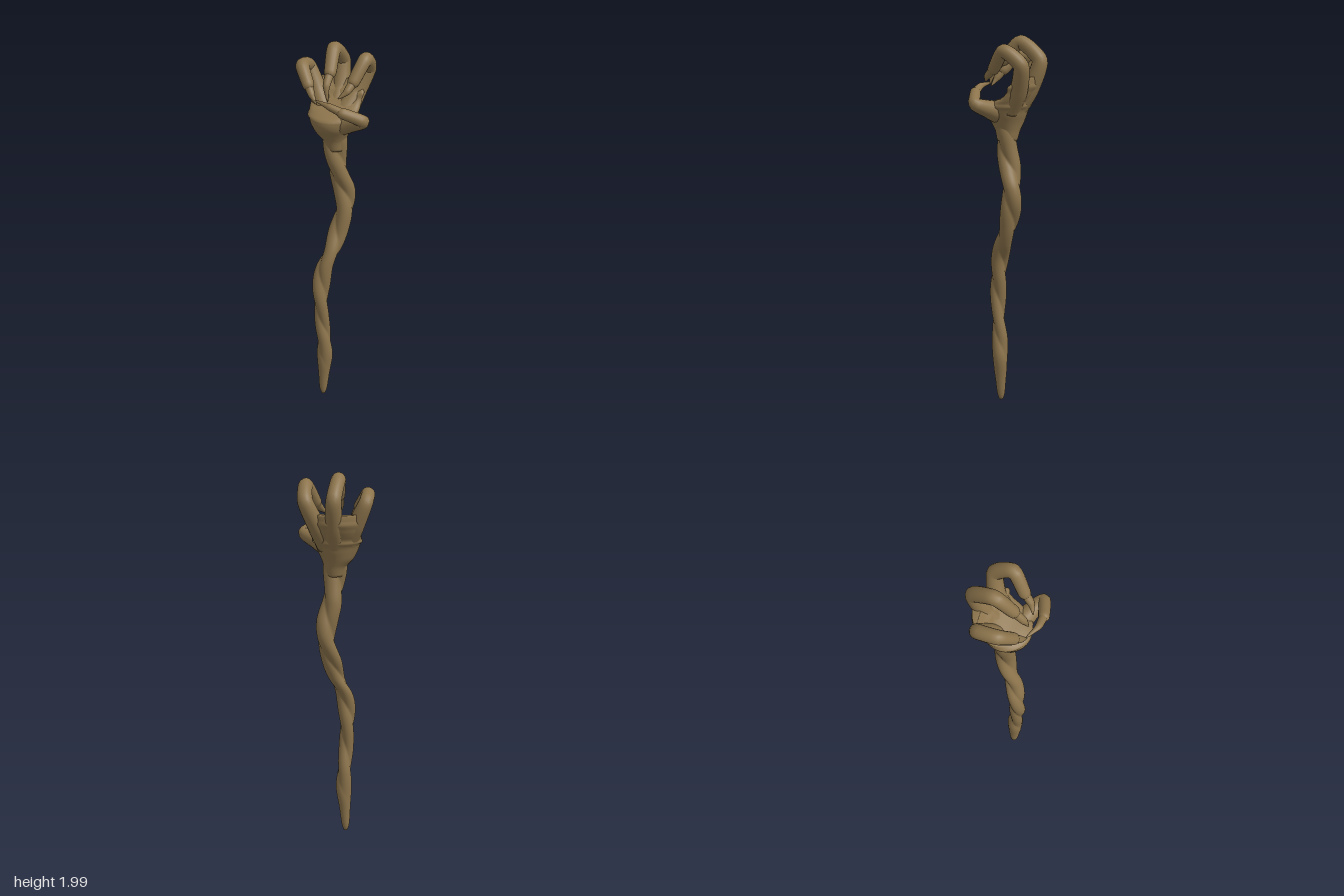
import * as THREE from 'three';

const V = (p) => new THREE.Vector3(p[0], p[1], p[2]);

// Skin a list of closed rings (equal point counts), closing both ends.
function loft(rings) {
  const n = rings[0].length, pos = [], idx = [];
  const add = (v) => pos.push(v.x, v.y, v.z);
  rings.forEach((r) => r.forEach(add));
  for (let i = 0; i < rings.length - 1; i++) {
    for (let j = 0; j < n; j++) {
      const a = i * n + j, b = i * n + (j + 1) % n;
      idx.push(a, b, a + n, b, b + n, a + n);
    }
  }
  const centre = (r) => r.reduce((s, v) => s.add(v), new THREE.Vector3()).divideScalar(n);
  const c0 = rings.length * n, last = (rings.length - 1) * n;
  add(centre(rings[0]));
  add(centre(rings[rings.length - 1]));
  for (let j = 0; j < n; j++) {
    idx.push(c0, (j + 1) % n, j);
    idx.push(c0 + 1, last + j, last + (j + 1) % n);
  }
  const g = new THREE.BufferGeometry();
  g.setAttribute('position', new THREE.Float32BufferAttribute(pos, 3));
  g.setIndex(idx);
  g.computeVertexNormals();
  return g;
}

// Tube through [x, y, z, radius] points with a rounded far end.
function limb(points, sides = 16, steps = 8) {
  const curve = new THREE.CatmullRomCurve3(points.map(V), false, 'catmullrom', 0.32);
  const m = points.length - 1, total = m * steps, rings = [];
  let normal = null;
  const ring = (c, t, r) => {
    if (!normal) normal = new THREE.Vector3(0.31, 0.2, 0.93);
    normal.addScaledVector(t, -normal.dot(t)).normalize();
    const side = new THREE.Vector3().crossVectors(t, normal);
    rings.push(Array.from({ length: sides }, (_, j) => {
      const a = (j / sides) * Math.PI * 2;
      return c.clone().addScaledVector(normal, r * Math.cos(a)).addScaledVector(side, r * Math.sin(a));
    }));
  };
  for (let i = 0; i <= total; i++) {
    const k = Math.min(Math.floor(i / steps), m - 1), f = i / steps - k;
    const r = THREE.MathUtils.lerp(points[k][3], points[k + 1][3], f);
    ring(curve.getPoint(i / total), curve.getTangent(i / total), r);
  }
  const end = V(points[m]), dir = curve.getTangent(1), r = points[m][3];
  for (const a of [0.4, 0.8, 1.15, 1.45]) {
    ring(end.clone().addScaledVector(dir, r * Math.sin(a)), dir, r * Math.cos(a));
  }
  return loft(rings);
}

// Two-strand twisted shaft following a wandering centre line: [x, y, z, radius].
function shaftGeometry() {
  const path = [
    [-0.05, 0.005, 0.085, 0.01], [-0.05, 0.03, 0.085, 0.019], [-0.046, 0.13, 0.085, 0.03],
    [-0.04, 0.25, 0.085, 0.042], [-0.042, 0.35, 0.087, 0.041], [-0.05, 0.5, 0.1, 0.038],
    [-0.053, 0.68, 0.1, 0.045], [-0.04, 0.8, 0.085, 0.046], [-0.005, 0.9, 0.05, 0.047],
    [0.012, 1.0, 0.01, 0.05], [0.035, 1.12, -0.02, 0.052], [0.03, 1.22, -0.02, 0.054],
    [0.01, 1.32, 0.0, 0.055], [0, 1.42, 0.02, 0.056], [-0.005, 1.55, 0.022, 0.062]];
  const centre = new THREE.CatmullRomCurve3(path.map(V));
  const radius = new THREE.CatmullRomCurve3(path.map((p) => new THREE.Vector3(p[3], p[1], 0)));
  const rings = [], sides = 32, steps = 170;
  for (let i = 0; i <= steps; i++) {
    const c = centre.getPoint(i / steps), R = radius.getPoint(i / steps).x;
    const lobes = THREE.MathUtils.smoothstep(c.y, 0.12, 0.45);
    rings.push(Array.from({ length: sides }, (_, j) => {
      const a = -(j / sides) * Math.PI * 2;
      const twist = 0.73 + 0.34 * Math.abs(Math.cos(a - 12.5 * c.y));
      const r = R * THREE.MathUtils.lerp(1, twist, lobes);
      return new THREE.Vector3(c.x + r * Math.cos(a), c.y, c.z + r * Math.sin(a));
    }));
  }
  return loft(rings);
}

// Cupped palm: [y, centre x, centre z, half width, half depth, cupping].
function palmGeometry() {
  const sections = [
    [1.46, 0, 0.02, 0.05, 0.054, 0], [1.51, -0.005, 0.02, 0.06, 0.066, 0],
    [1.55, -0.015, 0.025, 0.085, 0.085, 0], [1.59, -0.015, 0.03, 0.105, 0.105, 0],
    [1.63, -0.015, 0.025, 0.12, 0.115, 0], [1.66, -0.015, 0.0, 0.128, 0.1, 0.4],
    [1.685, -0.017, -0.045, 0.132, 0.07, 1.4], [1.72, -0.02, -0.085, 0.135, 0.05, 2.3],
    [1.76, -0.02, -0.11, 0.135, 0.038, 2.7], [1.795, -0.02, -0.125, 0.115, 0.022, 2.7]];
  const track = (f) => new THREE.CatmullRomCurve3(sections.map(f));
  const place = track((s) => new THREE.Vector3(s[1], s[0], s[2]));
  const size = track((s) => new THREE.Vector3(s[3], s[4], s[5]));
  const rings = [], sides = 32, steps = 36;
  for (let i = 0; i <= steps; i++) {
    const c = place.getPoint(i / steps), s = size.getPoint(i / steps);
    rings.push(Array.from({ length: sides }, (_, j) => {
      const a = -(j / sides) * Math.PI * 2, dx = s.x * Math.cos(a);
      return new THREE.Vector3(c.x + dx, c.y, c.z + s.y * Math.sin(a) + s.z * dx * dx);
    }));
  }
  return loft(rings);
}

// Each digit: flesh joints, then the curved claw at its end.
const DIGITS = {
  rightFinger: {
    flesh: [[-0.06, 1.62, 0.0, 0.055], [-0.125, 1.74, -0.045, 0.045], [-0.176, 1.855, -0.055, 0.036],
      [-0.168, 1.882, 0.045, 0.036], [-0.115, 1.81, 0.1, 0.03]],
    claw: [[-0.115, 1.81, 0.1, 0.024], [-0.085, 1.765, 0.125, 0.017], [-0.055, 1.73, 0.14, 0.003]],
  },
  middleFinger: {
    flesh: [[-0.015, 1.62, -0.02, 0.06], [-0.022, 1.74, -0.105, 0.046], [-0.03, 1.875, -0.15, 0.04],
      [-0.033, 1.963, -0.04, 0.037], [-0.018, 1.87, 0.05, 0.031]],
    claw: [[-0.018, 1.87, 0.05, 0.024], [-0.016, 1.815, 0.105, 0.018], [-0.004, 1.745, 0.122, 0.003]],
  },
  leftFinger: {
    flesh: [[0.03, 1.63, -0.01, 0.06], [0.075, 1.74, -0.085, 0.046], [0.122, 1.86, -0.118, 0.04],
      [0.137, 1.93, -0.03, 0.036], [0.103, 1.835, 0.045, 0.031]],
    claw: [[0.103, 1.835, 0.045, 0.024], [0.085, 1.795, 0.09, 0.018], [0.052, 1.765, 0.118, 0.003]],
  },
  thumb: {
    flesh: [[0.0, 1.59, 0.04, 0.06], [0.09, 1.625, 0.07, 0.05], [0.18, 1.662, 0.112, 0.032],
      [0.09, 1.708, 0.158, 0.028]],
    claw: [[0.1, 1.705, 0.156, 0.024], [0.02, 1.735, 0.163, 0.017], [-0.06, 1.748, 0.14, 0.003]],
  },
};

export function createModel() {
  const wood = new THREE.MeshStandardMaterial({ color: 0x8c744c });
  wood.name = 'wood';
  const model = new THREE.Group();
  model.name = 'clawStaff';
  const add = (parent, name, geometry) => {
    const mesh = new THREE.Mesh(geometry, wood);
    mesh.name = name;
    parent.add(mesh);
  };

  add(model, 'twistedShaft', shaftGeometry());

  // Clawed hand at the top
  const hand = new THREE.Group();
  hand.name = 'hand';
  model.add(hand);
  add(hand, 'palm', palmGeometry());
  for (const [name, digit] of Object.entries(DIGITS)) {
    add(hand, name, limb(digit.flesh));
    add(hand, name + 'Claw', limb(digit.claw, 12));
  }
  return model;
}
